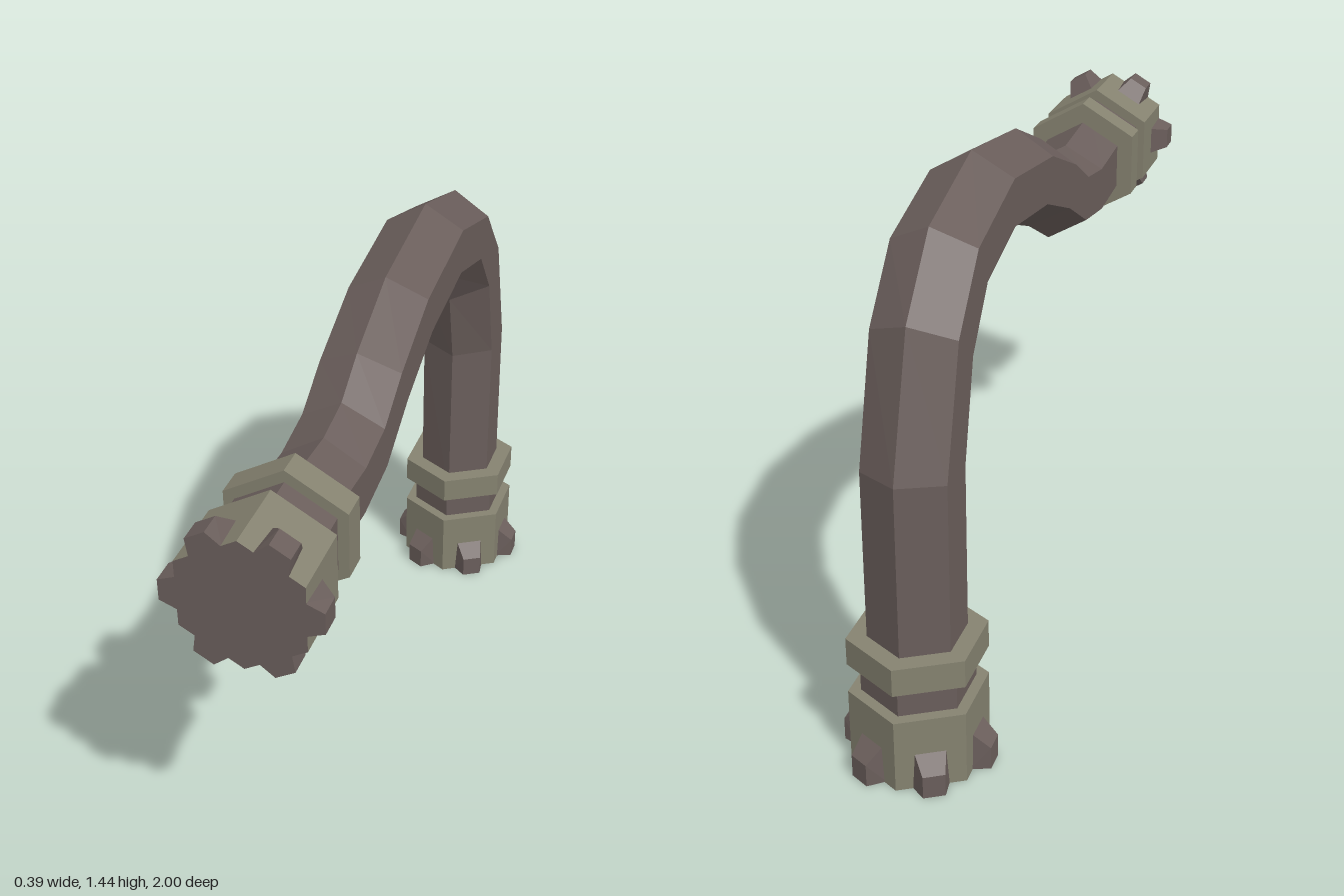
import * as THREE from 'three';
import { ConvexGeometry } from 'three/addons/geometries/ConvexGeometry.js';

const brown = new THREE.MeshStandardMaterial({ name: 'brownMetal', color: 0x6a5e5b, flatShading: true });
const olive = new THREE.MeshStandardMaterial({ name: 'oliveMetal', color: 0x858270, flatShading: true });

// Hexagonal ring with one corner facing +z; the end at y0 may have its own material
function hexRing(name, radius, y0, y1, side, bottom = side) {
  const geometry = new THREE.CylinderGeometry(radius, radius, y1 - y0, 6);
  const mesh = new THREE.Mesh(geometry, [side, side, bottom]);
  mesh.position.y = (y0 + y1) / 2;
  mesh.name = name;
  return mesh;
}

// Tapered lug that sits on a flat of the hexagonal base
function lugGeometry() {
  const points = [];
  for (const s of [-1, 1]) {
    points.push(
      new THREE.Vector3(s * 0.047, 0, 0.148),
      new THREE.Vector3(s * 0.04, 0.105, 0.148),
      new THREE.Vector3(s * 0.028, 0, 0.196),
      new THREE.Vector3(s * 0.028, 0.062, 0.196),
    );
  }
  return new ConvexGeometry(points);
}

// Fitting used at both ends: base, neck, collar and six lugs
function endFitting(name) {
  const group = new THREE.Group();
  group.name = name;
  group.add(
    hexRing('base', 0.177, 0, 0.2, olive, brown),
    hexRing('neck', 0.145, 0.19, 0.29, brown),
    hexRing('collar', 0.177, 0.28, 0.355, olive),
  );
  const lug = lugGeometry();
  for (let i = 0; i < 6; i++) {
    const mesh = new THREE.Mesh(lug, brown);
    mesh.name = 'lug';
    mesh.rotation.y = Math.PI / 6 + (i * Math.PI) / 3;
    group.add(mesh);
  }
  return group;
}

// Bent hexagonal pipe: each section is [outer z, outer y, inner z, inner y]
function pipeGeometry() {
  const sections = [
    [-0.94, 0.28, -0.69, 0.28],
    [-0.938, 0.815, -0.69, 0.79],
    [-0.83, 1.17, -0.64, 1.01],
    [-0.67, 1.35, -0.545, 1.14],
    [-0.37, 1.438, -0.36, 1.19],
    [-0.02, 1.388, -0.11, 1.157],
    [0.21, 1.29, 0.1, 1.075],
    [0.33, 1.217, 0.29, 0.973],
    [0.46, 1.195, 0.48, 0.945],
    [0.72, 1.215, 0.72, 0.965],
  ];
  const position = [];
  const index = [];
  sections.forEach(([oz, oy, iz, iy], i) => {
    for (let j = 0; j < 6; j++) {
      const a = (j * Math.PI) / 3;
      const c = Math.cos(a) / 2;
      position.push(-0.125 * Math.sin(a), (oy + iy) / 2 + (oy - iy) * c, (oz + iz) / 2 + (oz - iz) * c);
      if (i === 0) continue;
      const k = (j + 1) % 6;
      const p = (i - 1) * 6;
      const q = i * 6;
      index.push(p + j, p + k, q + j, p + k, q + k, q + j);
    }
  });
  const geometry = new THREE.BufferGeometry();
  geometry.setAttribute('position', new THREE.Float32BufferAttribute(position, 3));
  geometry.setIndex(index);
  const flat = geometry.toNonIndexed();
  flat.computeVertexNormals();
  return flat;
}

export function createModel() {
  const model = new THREE.Group();
  model.name = 'bentPipe';

  const pipe = new THREE.Mesh(pipeGeometry(), brown);
  pipe.name = 'pipe';

  // Fitting standing on the ground at the back
  const groundFitting = endFitting('groundFitting');
  groundFitting.position.set(0, 0, -0.815);

  // Fitting facing forward at the front
  const frontFitting = endFitting('frontFitting');
  frontFitting.rotation.x = -Math.PI / 2;
  frontFitting.position.set(0, 1.09, 1);

  model.add(pipe, groundFitting, frontFitting);
  return model;
}
